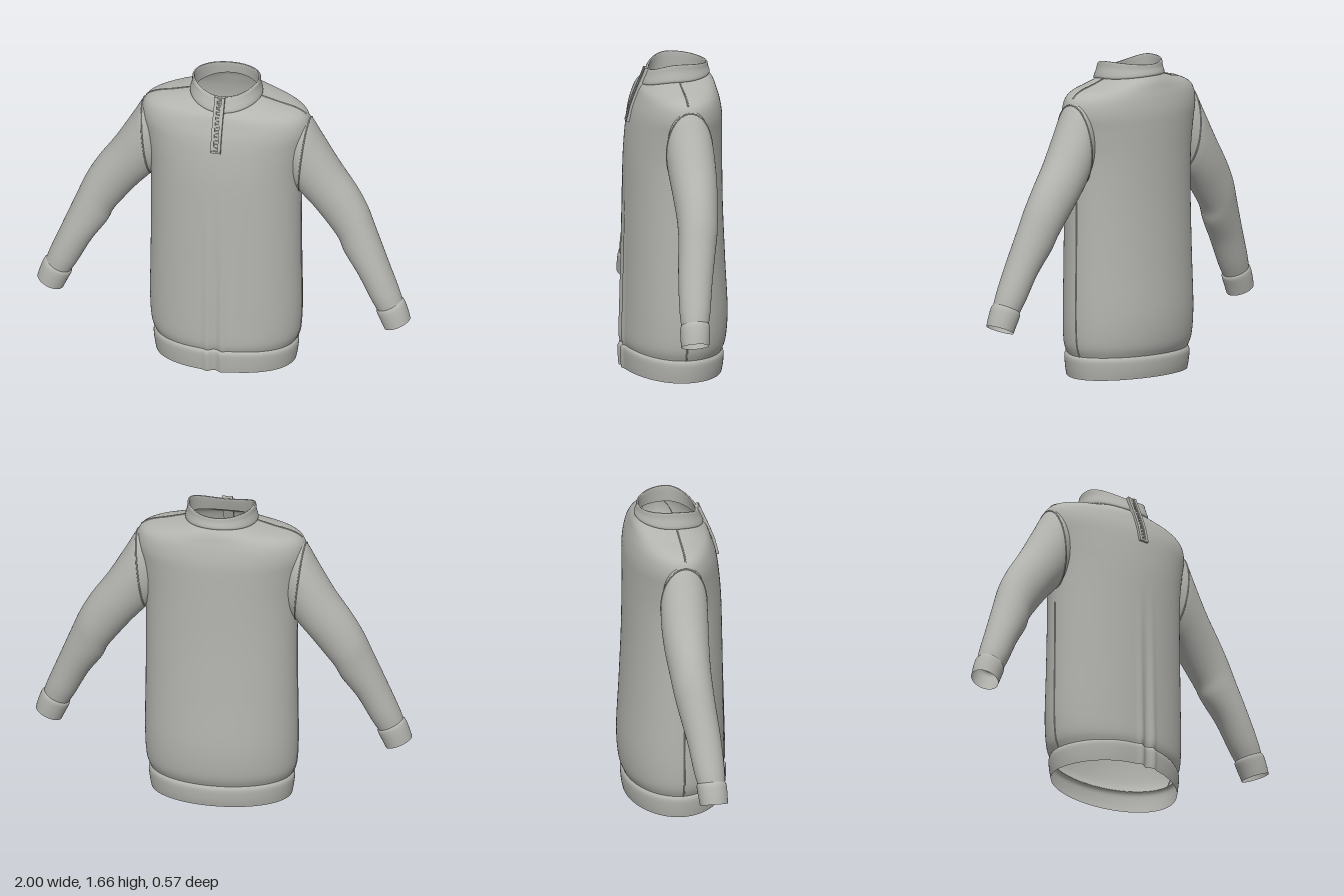
import * as THREE from 'three';

const SEG = 192;

// Smoothly resample rows of numbers (Catmull-Rom per column)
function smooth(rows, steps) {
  const out = [];
  const at = i => rows[Math.max(0, Math.min(rows.length - 1, i))];
  for (let i = 0; i < rows.length - 1; i++) {
    for (let k = 0; k < steps; k++) {
      const t = k / steps;
      out.push(rows[i].map((b, c) => {
        const a = at(i - 1)[c], d = at(i + 1)[c], e = at(i + 2)[c];
        return b + 0.5 * t * (d - a + t * (2 * a - 5 * b + 4 * d - e + t * (3 * (b - d) + e - a)));
      }));
    }
  }
  out.push(rows[rows.length - 1]);
  return out;
}

// Skin closed rings; point(row, angle) gives each vertex
function loft(rows, point, seg) {
  const pos = [], index = [];
  rows.forEach((row, r) => {
    for (let j = 0; j < seg; j++) {
      pos.push(...point(row, (j / seg) * Math.PI * 2).toArray());
      if (r === rows.length - 1) continue;
      const a = r * seg + j, b = r * seg + (j + 1) % seg;
      index.push(a, a + seg, b, b, a + seg, b + seg);
    }
  });
  const g = new THREE.BufferGeometry();
  g.setAttribute('position', new THREE.Float32BufferAttribute(pos, 3));
  g.setIndex(index);
  g.computeVertexNormals();
  return g;
}

// Body row: half width, front depth, back depth, side y, front y, back y
function bodyPoint([w, zf, zb, ys, yf, yb], a) {
  const c = Math.cos(a), s = Math.sin(a), x = w * c;
  const y = ys + ((s > 0 ? yf : yb) - ys) * s * s;
  let z = s * (s > 0 ? zf : zb);
  if (s > 0) {
    // Centre front pleat fading out towards the chest
    const fade = Math.max(0, 1 - y / 1.1);
    const bump = Math.exp(-(((Math.abs(x) - 0.04) / 0.016) ** 2));
    z += fade * (0.012 * bump - 0.012 * Math.exp(-((x / 0.02) ** 2)));
  }
  return new THREE.Vector3(x, y, z);
}

// Sleeve row: upper edge x y, lower edge x y, z centre, z half width
const sleevePoint = side => ([ox, oy, ix, iy, zc, hz], a) => {
  const c = Math.cos(a);
  return new THREE.Vector3(
    side * ((ox + ix) / 2 + (ox - ix) / 2 * c),
    (oy + iy) / 2 + (oy - iy) / 2 * c,
    zc - side * hz * Math.sin(a));
};

export function createModel() {
  const group = new THREE.Group();
  const knit = new THREE.MeshStandardMaterial({ color: 0xb4b4b0, side: THREE.DoubleSide });
  knit.name = 'grey knit';
  const add = (name, geometry) => {
    const mesh = new THREE.Mesh(geometry, knit);
    mesh.name = name;
    group.add(mesh);
  };
  const seam = (name, points, closed) => add(name, new THREE.TubeGeometry(
    new THREE.CatmullRomCurve3(points, closed), points.length * 2, 0.004, 6, closed));

  // Torso from the hem seam up over the shoulders to the neckline
  const body = smooth([
    [0.375, 0.268, 0.245, 0.125, 0.152, 0.125],
    [0.397, 0.276, 0.268, 0.19, 0.2, 0.19],
    [0.405, 0.274, 0.278, 0.34, 0.34, 0.34],
    [0.402, 0.270, 0.265, 0.6, 0.6, 0.6],
    [0.400, 0.265, 0.252, 0.9, 0.9, 0.9],
    [0.405, 0.258, 0.248, 1.15, 1.15, 1.15],
    [0.428, 0.243, 0.247, 1.31, 1.31, 1.31],
    [0.448, 0.227, 0.244, 1.41, 1.40, 1.40],
    [0.435, 0.207, 0.232, 1.485, 1.46, 1.47],
    [0.38, 0.192, 0.218, 1.525, 1.50, 1.52],
    [0.28, 0.180, 0.205, 1.55, 1.522, 1.56],
    [0.185, 0.163, 0.185, 1.575, 1.54, 1.59],
  ], 5);
  add('torso', loft(body, bodyPoint, SEG));

  // Hem band, tucked in under the torso at the top
  add('hemBand', loft(smooth([
    [0.372, 0.275, 0.246, 0.005, 0.03, 0.01],
    [0.380, 0.279, 0.254, 0.05, 0.075, 0.05],
    [0.385, 0.280, 0.257, 0.105, 0.135, 0.105],
    [0.374, 0.266, 0.245, 0.127, 0.154, 0.127],
  ], 4), bodyPoint, SEG));

  // Stand collar: outer wall, rolled top edge, inner wall
  add('collar', loft(smooth([
    [0.184, 0.160, 0.184, 1.572, 1.532, 1.585],
    [0.192, 0.170, 0.190, 1.585, 1.545, 1.598],
    [0.182, 0.153, 0.181, 1.63, 1.585, 1.625],
    [0.180, 0.141, 0.178, 1.66, 1.612, 1.645],
    [0.174, 0.133, 0.172, 1.665, 1.615, 1.648],
    [0.168, 0.128, 0.167, 1.655, 1.608, 1.64],
    [0.172, 0.150, 0.172, 1.575, 1.54, 1.585],
  ], 4), bodyPoint, 96));

  // Front zip placket: side profile in (z, y), extruded across x
  const line = [[0.143, 1.617], [0.157, 1.58], [0.175, 1.54], [0.200, 1.48], [0.222, 1.42], [0.240, 1.345]];
  const strip = (name, x, width, lift) => {
    const shape = new THREE.Shape([
      ...line.map(([z, y]) => new THREE.Vector2(z + lift, y + lift * 0.4)),
      ...line.slice().reverse().map(([z, y]) => new THREE.Vector2(z - 0.012, y)),
    ]);
    const g = new THREE.ExtrudeGeometry(shape, { depth: width, bevelEnabled: false });
    g.rotateY(-Math.PI / 2);
    g.translate(x + width / 2, 0, 0);
    add(name, g);
  };
  strip('placketLeft', 0.019, 0.016, 0.012);
  strip('placketRight', -0.019, 0.016, 0.012);
  strip('zipTape', 0, 0.024, 0.005);
  for (let i = 0; i < 20; i++) {
    const t = i / 19 * (line.length - 1.001), k = Math.floor(t), f = t - k;
    const tooth = new THREE.BoxGeometry(0.012, 0.006, 0.008);
    tooth.translate(0, THREE.MathUtils.lerp(line[k][1], line[k + 1][1], f),
      THREE.MathUtils.lerp(line[k][0], line[k + 1][0], f) + 0.006);
    add('zipTooth', tooth);
  }
  const stop = new THREE.BoxGeometry(0.054, 0.012, 0.02);
  stop.translate(0, 1.345, 0.243);
  add('placketEnd', stop);

  for (const side of [1, -1]) {
    const label = side > 0 ? 'left' : 'right';
    const point = sleevePoint(side);

    // Sleeve from inside the armhole to the cuff seam
    const root = [0.447, 1.465, 0.398, 1.03, -0.008, 0.122];
    add(label + 'Sleeve', loft(smooth([
      [0.405, 1.49, 0.35, 1.08, -0.005, 0.105],
      root,
      [0.505, 1.365, 0.425, 1.0, -0.012, 0.124],
      [0.60, 1.205, 0.475, 0.945, -0.015, 0.118],
      [0.69, 1.075, 0.55, 0.85, -0.012, 0.108],
      [0.752, 0.965, 0.605, 0.775, -0.005, 0.103],
      [0.80, 0.85, 0.638, 0.705, 0.008, 0.098],
      [0.875, 0.665, 0.715, 0.595, 0.03, 0.089],
      [0.93, 0.53, 0.783, 0.468, 0.043, 0.081],
      [0.953, 0.465, 0.822, 0.402, 0.049, 0.072],
    ], 5), point, 64));

    // Cuff
    add(label + 'Cuff', loft(smooth([
      [0.951, 0.468, 0.824, 0.405, 0.049, 0.070],
      [0.967, 0.452, 0.820, 0.388, 0.050, 0.078],
      [0.985, 0.405, 0.840, 0.345, 0.053, 0.077],
      [0.999, 0.357, 0.862, 0.298, 0.056, 0.073],
    ], 4), point, 64));

    // Raised seams: armhole, shoulder and side
    const loop = Array.from({ length: 32 }, (_, j) => point(root, j / 32 * Math.PI * 2));
    seam(label + 'ArmholeSeam', loop, true);
    const edge = body.map(row => bodyPoint(row, side > 0 ? 0 : Math.PI));
    seam(label + 'ShoulderSeam', edge.filter(p => p.y > 1.49), false);
    seam(label + 'SideSeam', edge.filter(p => p.y < 1.0), false);
  }
  return group;
}
